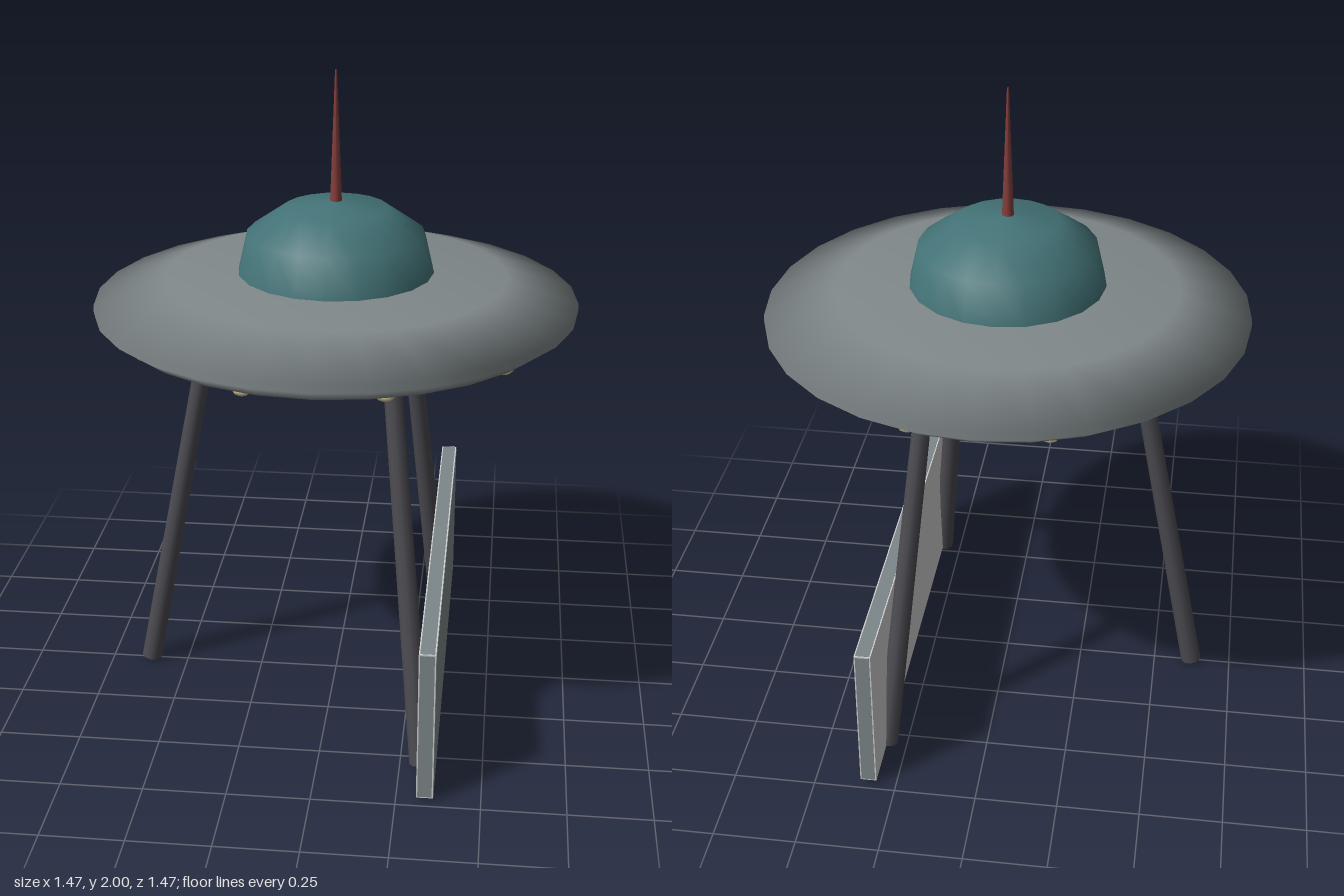
import * as THREE from 'three';

const mat = (name, color) => {
  const m = new THREE.MeshStandardMaterial({ color });
  m.name = name;
  return m;
};

export function createModel() {
  const group = new THREE.Group();
  group.name = 'saucerOnTripod';
  const hullGrey = mat('hull grey', 0x80888a);
  const panelGrey = mat('panel grey', 0x7d888a);
  const paleGrey = mat('pale grey', 0xd0d0d0);
  const teal = mat('dome teal', 0x437276);
  const legGrey = mat('leg grey', 0x4b4b51);
  const red = mat('mast red', 0x863f3d);
  const cream = mat('lamp cream', 0xdecb98);

  const add = (name, geometry, material, x = 0, y = 0, z = 0) => {
    const mesh = new THREE.Mesh(geometry, material);
    mesh.name = name;
    mesh.position.set(x, y, z);
    group.add(mesh);
    return mesh;
  };

  // Saucer: two flattened part-spheres, a narrow rim and a flat floor
  const R = 0.735;
  const bowl = (start, length, rows, height) =>
    new THREE.SphereGeometry(R, 28, rows, 0, Math.PI * 2, start, length).scale(1, height / R, 1);
  add('saucerTop', bowl(0, Math.PI / 2, 2, 0.102), hullGrey, 0, 1.306, 0);
  add('saucerRim', new THREE.CylinderGeometry(R, R, 0.023, 28, 1, true), hullGrey, 0, 1.2945, 0);
  add('saucerBottom', bowl(Math.PI / 2, Math.PI / 4, 1, 0.107), hullGrey, 0, 1.283, 0);
  add('saucerFloor', new THREE.CircleGeometry(R * Math.SQRT1_2, 28).rotateX(Math.PI / 2),
    hullGrey, 0, 1.2075, 0);

  // Cockpit dome
  const domeProfile = [[0.299, 1.385], [0.27, 1.51], [0.157, 1.588], [0, 1.61]];
  add('dome', new THREE.LatheGeometry(domeProfile.map(([r, y]) => new THREE.Vector2(r, y)), 20), teal);

  // Tapered mast
  add('mast', new THREE.CylinderGeometry(0.003, 0.018, 0.4, 8), red, 0, 1.8, 0);

  // Ring of lamps under the rim
  for (let i = 0; i < 10; i++) {
    const a = (i * Math.PI) / 5;
    const lamp = add('lamp', new THREE.SphereGeometry(0.03, 8, 6), cream,
      0.64 * Math.cos(a), 1.238, 0.64 * Math.sin(a));
    lamp.scale.y = 0.65;
  }

  // Three splayed legs
  const up = new THREE.Vector3(0, 1, 0);
  for (let i = 0; i < 3; i++) {
    const a = Math.PI + (i * Math.PI * 2) / 3;
    const foot = new THREE.Vector3(0.622 * Math.cos(a), 0.007, 0.622 * Math.sin(a));
    const top = new THREE.Vector3(0.382 * Math.cos(a), 1.25, 0.382 * Math.sin(a));
    const axis = top.clone().sub(foot);
    const leg = add('leg', new THREE.CylinderGeometry(0.027, 0.033, axis.length(), 10), legGrey);
    leg.position.copy(foot).add(top).multiplyScalar(0.5);
    leg.quaternion.setFromUnitVectors(up, axis.normalize());
  }

  // Upright pale panel with thin grey facings on its outer side and edges
  const [t, h, l] = [0.05, 0.482, 1.454];
  const [px, py] = [0.335, 0.254];
  add('panel', new THREE.BoxGeometry(t, h, l), paleGrey, px, py, 0);
  add('panelOuterFacing', new THREE.BoxGeometry(0.004, h - 0.008, l - 0.008), panelGrey, px + t / 2 - 0.001, py, 0);
  for (const s of [-1, 1]) {
    add('panelEdgeFacing', new THREE.BoxGeometry(t - 0.008, 0.004, l - 0.008), panelGrey, px, py + s * (h / 2 - 0.001), 0);
    add('panelEndFacing', new THREE.BoxGeometry(t - 0.008, h - 0.008, 0.004), panelGrey, px, py, s * (l / 2 - 0.001));
  }

  return group;
}
